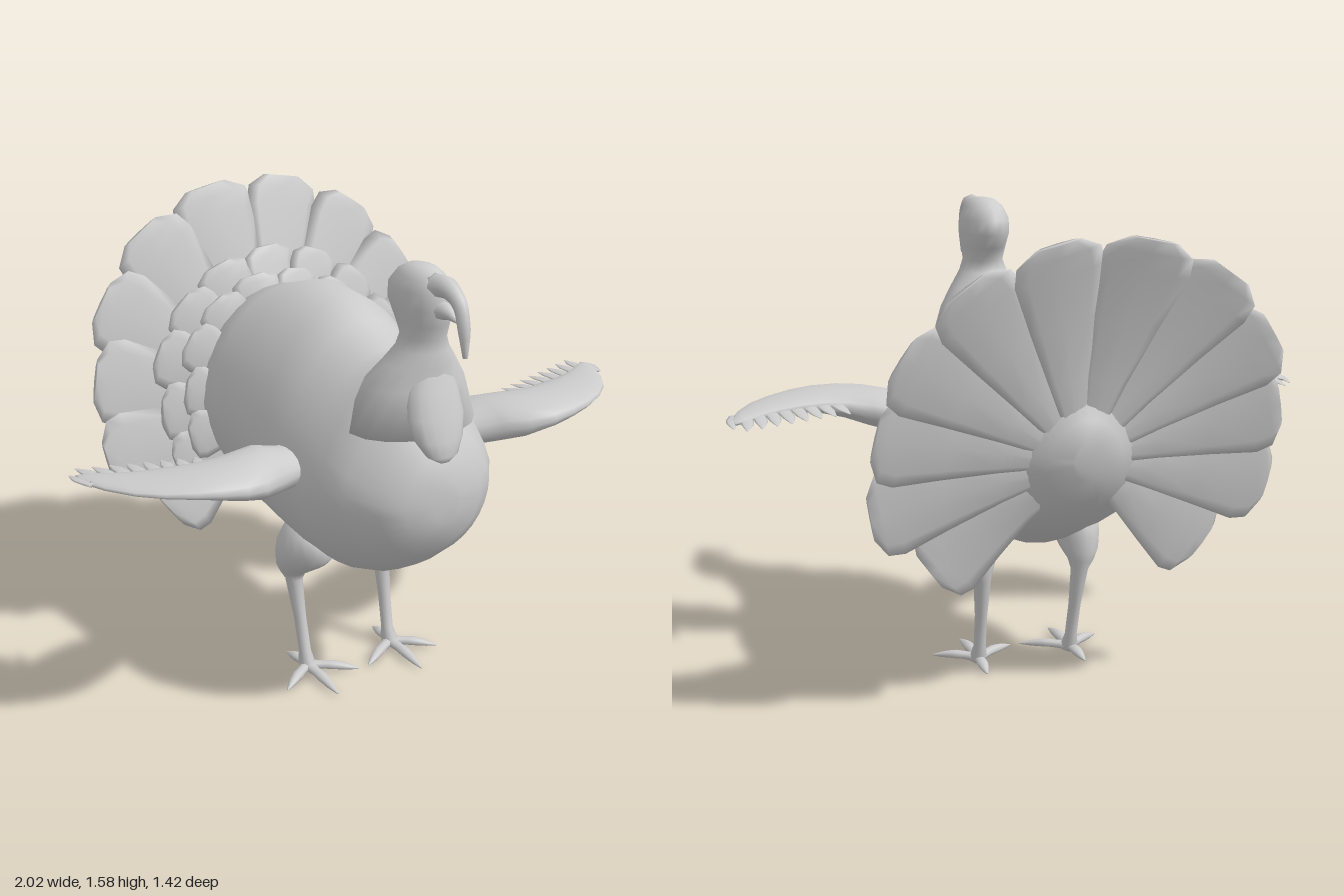
import * as THREE from 'three';

const V = (x, y, z) => new THREE.Vector3(x, y, z);
const grey = new THREE.MeshStandardMaterial({ color: 0xcccccc });
grey.name = 'plain grey';

// Closed skin over rings; each ring is { c: centre, u, v: half axes, narrow, shear }
function loft(rings, n = 16) {
  const pos = [], idx = [];
  for (const { c, u, v, narrow = 0, shear = 0 } of rings) {
    for (let j = 0; j < n; j++) {
      const a = (j / n) * Math.PI * 2, s = Math.sin(a);
      const k = Math.cos(a) * (1 - narrow * Math.max(0, s));
      const p = c.clone().addScaledVector(u, k).addScaledVector(v, s);
      pos.push(p.x, p.y, p.z - shear * (p.y - 0.9));
    }
  }
  for (let i = 0; i < rings.length - 1; i++) {
    for (let j = 0; j < n; j++) {
      const a = i * n + j, b = i * n + (j + 1) % n;
      idx.push(a, b, a + n, b, b + n, a + n);
    }
  }
  // End caps
  const last = (rings.length - 1) * n;
  for (let j = 1; j < n - 1; j++) idx.push(0, j + 1, j, last, last + j, last + j + 1);
  // Turn the faces outward if the enclosed volume is negative
  let vol = 0;
  const at = i => V(pos[3 * i], pos[3 * i + 1], pos[3 * i + 2]);
  for (let i = 0; i < idx.length; i += 3) vol += at(idx[i]).dot(at(idx[i + 1]).cross(at(idx[i + 2])));
  if (vol < 0) idx.reverse();
  const g = new THREE.BufferGeometry();
  g.setAttribute('position', new THREE.Float32BufferAttribute(pos, 3));
  g.setIndex(idx);
  g.computeVertexNormals();
  return g;
}

// Tapered tube through points, radii interpolated along the path
function taper(points, radii, flat = 1, steps = 10) {
  const curve = new THREE.CatmullRomCurve3(points), rings = [];
  for (let i = 0; i <= steps; i++) {
    const t = i / steps, f = t * (radii.length - 1), k = Math.min(Math.floor(f), radii.length - 2);
    const r = THREE.MathUtils.lerp(radii[k], radii[k + 1], f - k);
    const d = curve.getTangent(t);
    const side = Math.abs(d.y) > 0.95 ? V(1, 0, 0) : V(0, 1, 0).cross(d).normalize();
    const up = d.clone().cross(side).normalize();
    rings.push({ c: curve.getPoint(t), u: side.multiplyScalar(r), v: up.multiplyScalar(r * flat) });
  }
  return loft(rings, 8);
}

// Horizontal rings from rows [y, z centre, z radius, x radius, x centre]
const column = (rows, s = 1) => loft(rows.map(([y, z, rz, rx, x = 0]) =>
  ({ c: V(x * s, y, z), u: V(rx, 0, 0), v: V(0, 0, rz) })));

// One fan feather growing out of the leaning tail plane
function feather(angle, r0, r1, halfWidth, forward, tilt) {
  const lean = 0.28, cy = 0.86;
  const out = V(Math.sin(angle), Math.cos(angle), 0), across = V(Math.cos(angle), -Math.sin(angle), 0);
  const inPlane = (p, dz) => V(p.x, p.y + cy, -0.40 - lean * (p.y + cy - 0.5) + forward + dz);
  const shape = [[0, 0.2], [0.3, 0.47], [0.6, 0.76], [0.85, 1], [0.94, 0.93], [1, 0.5]];
  return loft(shape.map(([t, w]) => {
    const r = THREE.MathUtils.lerp(r0, r1, t);
    const u = across.clone().multiplyScalar(halfWidth * w);
    u.z = -lean * u.y + tilt * w;
    return { c: inPlane(out.clone().multiplyScalar(r), 0.02 * Math.sin(t * Math.PI)), u, v: V(0, 0.003, 0.012) };
  }), 8);
}

export function createModel() {
  const model = new THREE.Group();
  const add = (name, geometry, parent = model) => {
    const m = new THREE.Mesh(geometry, grey);
    m.name = name;
    parent.add(m);
  };
  const group = name => {
    const g = new THREE.Group();
    g.name = name;
    model.add(g);
    return g;
  };

  // Body: [z, bottom, top, half width, narrowing towards the top, backward shear]
  const body = [
    [0.62, 0.78, 0.92, 0.05, 0, 0], [0.6, 0.70, 1.0, 0.14, 0.1, 0], [0.55, 0.64, 1.08, 0.21, 0.2, 0],
    [0.45, 0.56, 1.18, 0.28, 0.3, 0], [0.35, 0.50, 1.27, 0.31, 0.35, 0], [0.25, 0.465, 1.24, 0.32, 0.25, 0],
    [0.12, 0.45, 1.30, 0.33, 0.22, 0], [0, 0.455, 1.35, 0.335, 0.2, 0], [-0.2, 0.495, 1.345, 0.35, 0.15, 0.05],
    [-0.3, 0.54, 1.30, 0.355, 0.1, 0.13], [-0.39, 0.57, 1.265, 0.345, 0.1, 0.2], [-0.45, 0.62, 1.2, 0.28, 0.1, 0.2],
    [-0.5, 0.67, 1.08, 0.19, 0.1, 0.2], [-0.55, 0.73, 1.01, 0.13, 0.1, 0.2], [-0.575, 0.81, 0.95, 0.05, 0, 0.2],
  ];
  add('body', loft(body.map(([z, lo, hi, w, narrow, shear]) =>
    ({ c: V(0, (lo + hi) / 2, z), u: V(w, 0, 0), v: V(0, (hi - lo) / 2, 0), narrow, shear })), 32));

  // Neck and head in one skin, then the hanging throat, snood and beak
  add('neckAndHead', column([
    [1.05, 0.40, 0.17, 0.22], [1.2, 0.42, 0.13, 0.17], [1.27, 0.45, 0.105, 0.12], [1.32, 0.465, 0.085, 0.085],
    [1.36, 0.47, 0.08, 0.07], [1.41, 0.46, 0.11, 0.075], [1.46, 0.447, 0.133, 0.082], [1.51, 0.447, 0.13, 0.08],
    [1.55, 0.455, 0.1, 0.064], [1.572, 0.46, 0.065, 0.04], [1.578, 0.46, 0.02, 0.015],
  ]));
  add('throatWattle', column([
    [0.98, 0.6, 0.01, 0.02], [1.0, 0.588, 0.032, 0.055], [1.05, 0.565, 0.05, 0.085], [1.12, 0.545, 0.05, 0.1],
    [1.2, 0.52, 0.05, 0.09], [1.28, 0.5, 0.04, 0.065], [1.36, 0.49, 0.03, 0.04],
  ]));
  add('snood', taper([V(0, 1.53, 0.53), V(0, 1.54, 0.6), V(0, 1.51, 0.66), V(0, 1.45, 0.685), V(0, 1.35, 0.698)],
    [0.04, 0.035, 0.026, 0.022, 0.02, 0.008], 1, 14));
  add('beak', taper([V(0, 1.46, 0.54), V(0, 1.465, 0.6), V(0, 1.448, 0.655)], [0.035, 0.025, 0.003]));

  // Tail fan, with two tiers of short feathers in front
  const tail = group('tail');
  const tiers = [
    ['tailFeather', [12, 35, 57, 78, 101, 126], 0.08, 0.72, 0.15, 0],
    ['longCovert', [0, 22, 43, 64, 86, 108], 0.1, 0.52, 0.105, 0.1],
    ['shortCovert', [11, 33, 54, 75, 97, 118], 0.1, 0.45, 0.09, 0.14],
  ];
  for (const [name, angles, r0, r1, w, forward] of tiers) {
    for (const s of [-1, 1]) for (const a of angles) {
      if (a === 0 && s < 0) continue;
      const length = r1 - (a > 110 ? 0.14 : a > 70 ? 0.035 : 0) + (a < 50 && name === 'tailFeather' ? 0.015 : 0);
      add(name, feather(s * a * Math.PI / 180, r0, length, w, forward, -0.02 * s), tail);
    }
  }

  for (const s of [-1, 1]) {
    const side = s > 0 ? 'left' : 'right';

    // Wing: rows [x, z centre, z radius, y centre, y radius]
    const wing = group(side + 'Wing');
    add('wingArm', loft([
      [0.22, 0.15, 0.08, 0.87, 0.055], [0.33, 0.155, 0.1, 0.87, 0.065], [0.42, 0.205, 0.13, 0.9, 0.07],
      [0.5, 0.25, 0.138, 0.915, 0.065], [0.58, 0.278, 0.135, 0.93, 0.052], [0.66, 0.278, 0.128, 0.94, 0.04],
      [0.74, 0.26, 0.122, 0.945, 0.028], [0.82, 0.225, 0.11, 0.945, 0.02], [0.89, 0.175, 0.095, 0.943, 0.015],
      [0.95, 0.11, 0.07, 0.94, 0.012], [0.985, 0.06, 0.035, 0.937, 0.008],
    ].map(([x, z, rz, y, ry]) => ({ c: V(s * x, y, z), u: V(0, 0, rz), v: V(0, ry, 0) }))), wing);
    for (let i = 0; i < 8; i++) {
      const x = 0.62 + i * 0.047, z = 0.2 - i * 0.012, reach = 0.11 + 0.004 * i;
      add('wingFeather', taper([V(s * x, 0.945, z), V(s * (x - 0.005), 0.94, z - reach * 0.55),
        V(s * (x - 0.025 + i * 0.005), 0.93, z - reach - 0.02)], [0.025, 0.024, 0.02, 0.003], 0.2, 6), wing);
    }
    add('wingTipFeather', taper([V(s * 0.96, 0.94, 0.12), V(s * 0.99, 0.938, 0.06), V(s * 0.995, 0.93, 0)],
      [0.03, 0.02, 0.004], 0.2, 6), wing);

    // Leg: thigh running into the shank
    const leg = group(side + 'Leg');
    add('thighAndShank', column([
      [0.6, 0.05, 0.06, 0.04, 0.17], [0.565, 0.055, 0.11, 0.07, 0.18], [0.51, 0.055, 0.14, 0.085, 0.185],
      [0.46, 0.025, 0.118, 0.08, 0.187], [0.41, -0.015, 0.08, 0.065, 0.187], [0.375, -0.04, 0.05, 0.045, 0.185],
      [0.34, -0.046, 0.032, 0.03, 0.178], [0.2, -0.015, 0.025, 0.021, 0.173], [0.08, 0.012, 0.022, 0.021, 0.17],
      [0.04, 0.025, 0.035, 0.028, 0.17], [0.015, 0.03, 0.03, 0.024, 0.17],
    ], s), leg);
    // Toes: three forward, one back, as [x tip, z tip]
    for (const [x, z] of [[0.17, 0.24], [0.02, 0.13], [0.305, 0.13], [0.18, -0.1]]) {
      add('toe', taper([V(s * 0.17, 0.028, 0.03), V(s * (0.085 + x / 2), 0.03, 0.015 + z / 2), V(s * x, 0.018, z)],
        [0.024, 0.018, 0.02, 0.015, 0.003], 0.75), leg);
    }
  }
  return model;
}
